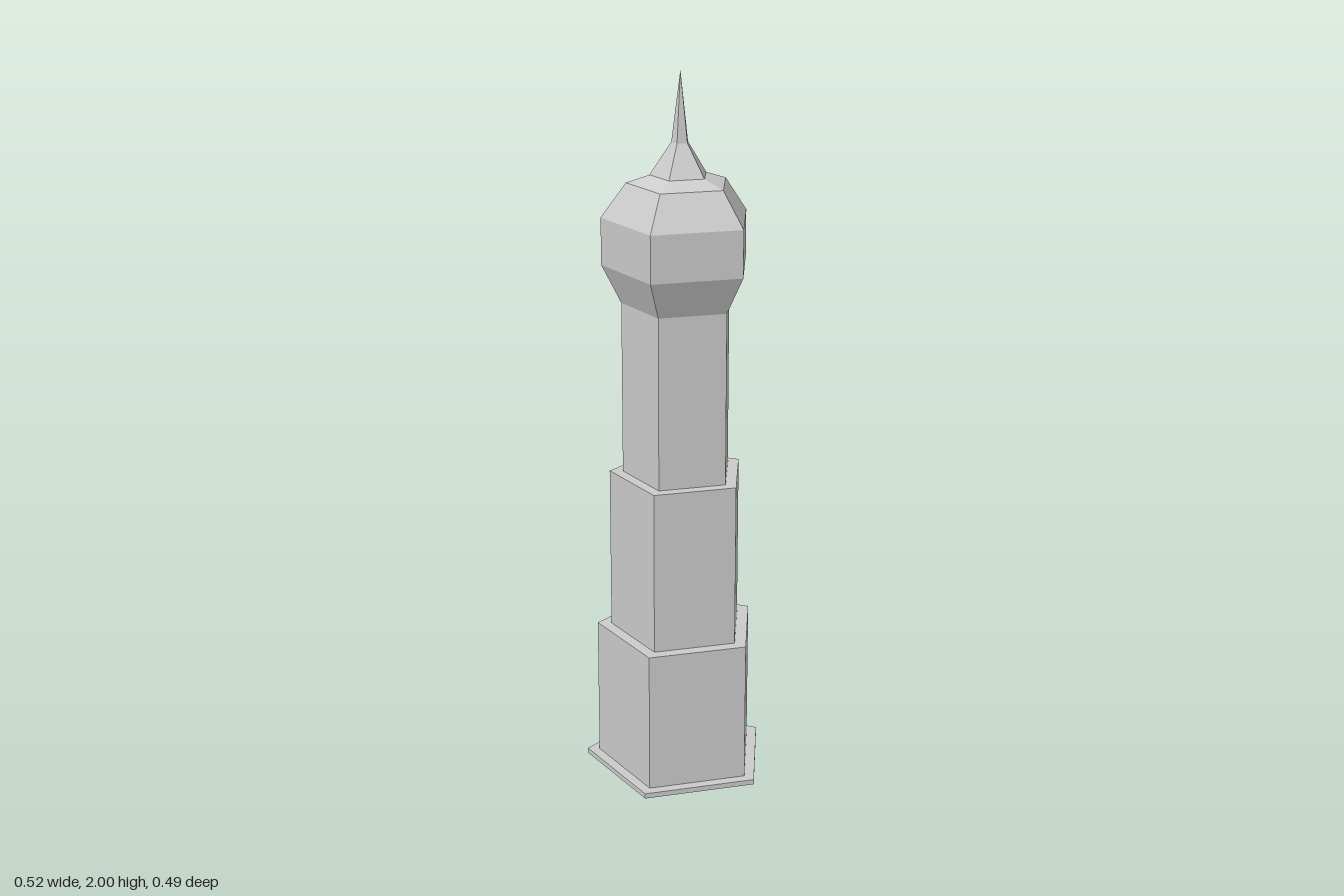
import * as THREE from 'three';

const SIDES = 5;
const CENTRE_Z = 0.026;
const material = new THREE.MeshStandardMaterial({ color: 0xcccccc, flatShading: true });

function addMesh(parent, name, geometry) {
  const mesh = new THREE.Mesh(geometry, material);
  mesh.name = name;
  parent.add(mesh);
  return mesh;
}

// Five-sided solid from a [radius, height] profile, one corner pointing to the back
function addPentagon(parent, name, profile) {
  const points = profile.map(([r, y]) => new THREE.Vector2(r, y));
  const geometry = new THREE.LatheGeometry(points, SIDES);
  geometry.rotateY(Math.PI);
  return addMesh(parent, name, geometry);
}

function addPrism(parent, name, radius, y0, y1) {
  return addPentagon(parent, name, [[0, y0], [radius, y0], [radius, y1], [0, y1]]);
}

// Flat wall outline, optionally with an arched doorway cut from its foot
function wallShape(width, y0, y1, door) {
  const shape = new THREE.Shape();
  shape.moveTo(-width / 2, y0);
  if (door) {
    const r = door.width / 2;
    shape.lineTo(-r, y0);
    shape.lineTo(-r, door.top - r);
    shape.absarc(0, door.top - r, r, Math.PI, 0, true);
    shape.lineTo(r, y0);
  }
  shape.lineTo(width / 2, y0);
  shape.lineTo(width / 2, y1);
  shape.lineTo(-width / 2, y1);
  shape.closePath();
  return shape;
}

export function createModel() {
  const tower = new THREE.Group();
  tower.name = 'tower';
  const body = new THREE.Group();
  body.name = 'towerBody';
  body.position.z = CENTRE_Z;
  tower.add(body);

  // Plinth
  addPrism(body, 'plinth', 0.271, 0, 0.015);

  // Lower tier: five walls, the back one on the +x side holding the doorway
  const radius = 0.2366;
  const apothem = radius * Math.cos(Math.PI / SIDES);
  const width = 2 * radius * Math.sin(Math.PI / SIDES);
  const thickness = 0.02;
  const door = { width: 0.036, top: 0.082 };
  for (let i = 0; i < SIDES; i++) {
    const hasDoor = i === 2;
    const geometry = new THREE.ExtrudeGeometry(
      wallShape(width, 0.015, 0.41, hasDoor ? door : null),
      { depth: thickness, bevelEnabled: false, curveSegments: 8 }
    );
    geometry.translate(0, 0, apothem - thickness);
    const wall = addMesh(body, hasDoor ? 'doorWall' : 'lowerWall', geometry);
    wall.rotation.y = (i * 2 * Math.PI) / SIDES;
    if (hasDoor) {
      const panel = new THREE.BoxGeometry(0.06, 0.09, 0.01);
      panel.translate(0, 0.06, apothem - thickness - 0.005);
      addMesh(body, 'door', panel).rotation.y = wall.rotation.y;
    }
  }
  addPrism(body, 'lowerTierCap', radius, 0.41, 0.42);

  // Stepped upper tiers
  addPrism(body, 'middleTier', 0.197, 0.415, 0.885);
  addPrism(body, 'upperTier', 0.16, 0.88, 1.37);

  // Bulbous dome and spire
  addPentagon(body, 'dome', [
    [0.16, 1.37], [0.2135, 1.475], [0.2135, 1.605], [0.145, 1.7], [0.082, 1.722],
  ]);
  addPentagon(body, 'spire', [[0.082, 1.722], [0.024, 1.81], [0, 2]]);

  return tower;
}
